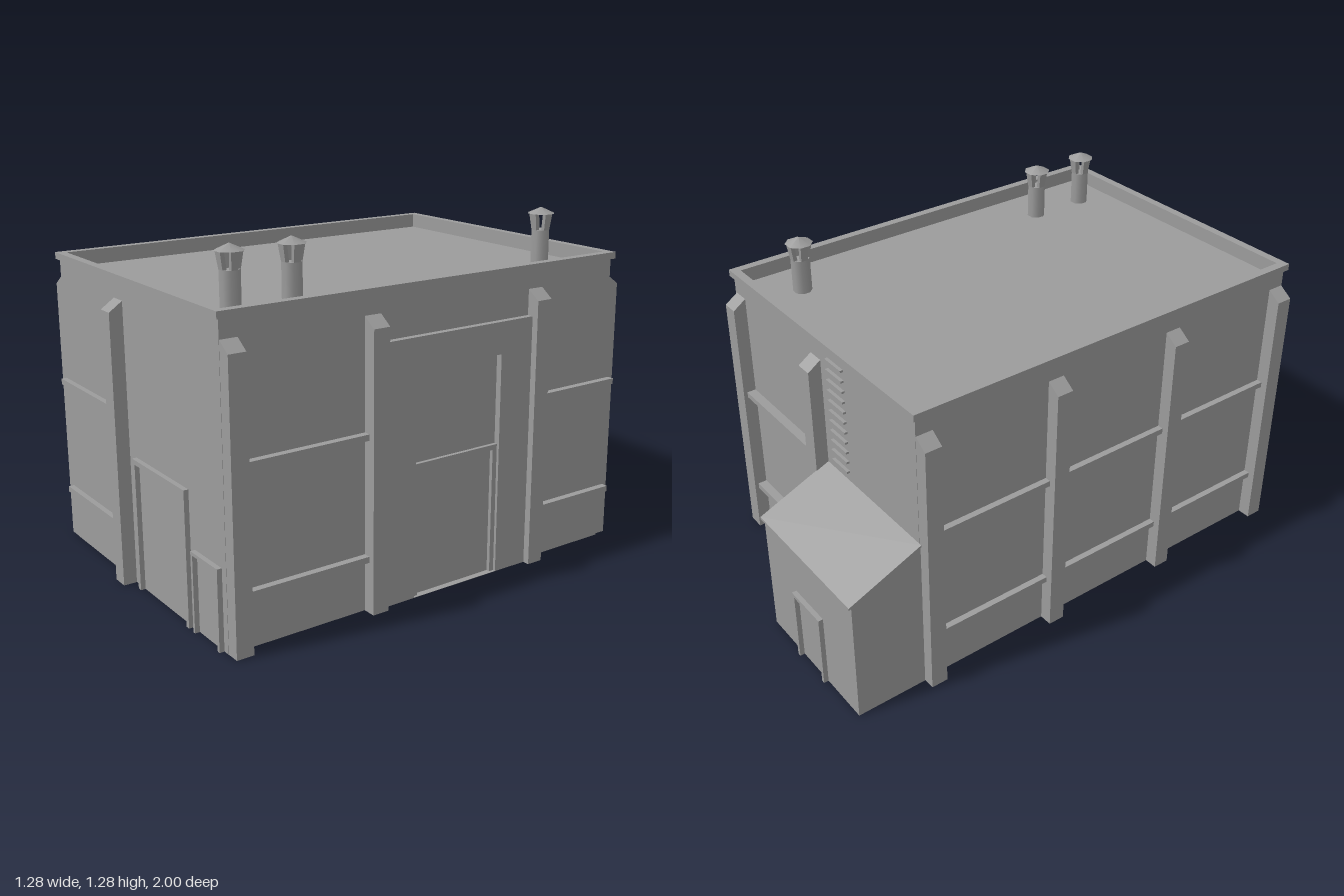
import * as THREE from 'three';

const mat = new THREE.MeshStandardMaterial({ color: 0x9c9c9c, side: THREE.DoubleSide });
const X = 0.59, ZF = 0.945, ZB = -0.71; // outer wall faces
const TOP = 1.1, PILLAR_HALF = 0.032;
const BEAMS = [0.197, 0.631];

function add(parent, name, geometry) {
  const mesh = new THREE.Mesh(geometry, mat);
  mesh.name = name;
  parent.add(mesh);
  return mesh;
}

// box geometry from its two corners
function boxGeometry(x0, x1, y0, y1, z0, z1) {
  const g = new THREE.BoxGeometry(x1 - x0, y1 - y0, z1 - z0);
  return g.translate((x0 + x1) / 2, (y0 + y1) / 2, (z0 + z1) / 2);
}

// leaves out sides of a box: 3 is the bottom, 5 the back
function dropSides(g, sides) {
  g.setIndex(Array.from(g.index.array).filter((_, i) => !sides.includes(Math.floor(i / 6))));
  g.clearGroups();
  return g;
}

function rectangle(target, x0, x1, y0, y1) {
  target.moveTo(x0, y0);
  target.lineTo(x1, y0);
  target.lineTo(x1, y1);
  target.lineTo(x0, y1);
  target.closePath();
  return target;
}

function extrude(shape, depth) {
  return new THREE.ExtrudeGeometry(shape, { depth, bevelEnabled: false });
}

// side profile of [out, y] points, swept along the wall from u0 to u1
function sweep(parent, name, points, u0, u1) {
  const shape = new THREE.Shape(points.map(p => new THREE.Vector2(...p)));
  add(parent, name, extrude(shape, u1 - u0).rotateY(-Math.PI / 2).translate(u1, 0, 0));
}

// rectangular ring around the roof: o = overhang, t = inset of the hole
function ring(parent, name, o, t, y0, y1) {
  const s = rectangle(new THREE.Shape(), -X - o, X + o, -ZF - o, -ZB + o);
  s.holes.push(rectangle(new THREE.Path(), -X + t, X - t, -ZF + t, -ZB - t));
  add(parent, name, extrude(s, y1 - y0).rotateX(-Math.PI / 2).translate(0, y0, 0));
}

// thin wall whose pillars and beams are channels open to the inside;
// in its frame x runs along the wall and z points outwards
function wall(parent, name, [x, z, angle], [u0, u1], pillars, beams, beamOut) {
  const g = new THREE.Group();
  g.name = name;
  g.position.set(x, 0, z);
  g.rotation.y = angle;
  parent.add(g);

  const skin = rectangle(new THREE.Shape(), u0, u1, 0, TOP);
  const cut = (a, b, y0, y1) => skin.holes.push(
    rectangle(new THREE.Path(), Math.max(a, u0) + 0.001, Math.min(b, u1) - 0.001, y0, y1));

  for (const u of pillars) {
    const a = u - PILLAR_HALF, b = u + PILLAR_HALF;
    cut(a, b, 0.001, 1.034);
    const channel = dropSides(boxGeometry(a, b, 0, 1.035, 0, 0.05), [3, 5]);
    const p = channel.attributes.position;
    // slope the top down to the outside
    for (let i = 0; i < p.count; i++) {
      if (p.getY(i) > 1 && p.getZ(i) > 0.04) p.setY(i, 1);
    }
    channel.computeVertexNormals();
    add(g, 'pillar', channel);
  }
  for (const [a, b] of beams) {
    for (const y of BEAMS) {
      cut(a, b, y - 0.01, y + 0.01);
      add(g, 'beam', dropSides(boxGeometry(a, b, y - 0.011, y + 0.011, 0, beamOut), [5]));
    }
  }
  add(g, 'wallSkin', new THREE.ShapeGeometry(skin));
  return g;
}

// door casing: two posts and a lintel
function doorFrame(parent, u0, u1, top, t, out, z0 = 0) {
  const s = new THREE.Shape();
  [[u0, 0], [u0 + t, 0], [u0 + t, top - t], [u1 - t, top - t], [u1 - t, 0], [u1, 0], [u1, top], [u0, top]]
    .forEach(([x, y], i) => (i ? s.lineTo(x, y) : s.moveTo(x, y)));
  add(parent, 'doorFrame', extrude(s, out).translate(0, 0, z0));
}

function chimney(parent, z) {
  const g = new THREE.Group();
  g.name = 'chimney';
  g.position.set(0.395, 0, z);
  const pipe = new THREE.CylinderGeometry(0.035, 0.035, 0.14, 8, 1, false, Math.PI / 8);
  add(g, 'chimneyPipe', pipe.translate(0, 1.13, 0));
  // four thick supports leaning outwards
  for (let i = 0; i < 4; i++) {
    const support = boxGeometry(-0.013, 0.013, 1.2, 1.262, 0.018, 0.033);
    const p = support.attributes.position;
    for (let k = 0; k < p.count; k++) {
      if (p.getY(k) > 1.23) p.setXYZ(k, p.getX(k) * 1.3, p.getY(k), p.getZ(k) + 0.01);
    }
    support.computeVertexNormals();
    add(g, 'capSupport', support.rotateY(i * Math.PI / 2));
  }
  const cap = new THREE.CylinderGeometry(0.003, 0.051, 0.022, 8, 1, false, Math.PI / 8);
  add(g, 'chimneyCap', cap.translate(0, 1.271, 0));
  parent.add(g);
}

export function createModel() {
  const model = new THREE.Group();
  model.name = 'building';

  // roof with its raised edge and chimneys
  ring(model, 'parapet', -0.004, 0.02, 1.06, 1.1);
  ring(model, 'cornice', 0.012, 0.02, 1.1, 1.125);
  add(model, 'roof', boxGeometry(-X + 0.005, X - 0.005, 1.06, 1.07, ZB + 0.005, ZF - 0.005));
  for (const z of [-0.535, 0.56, 0.79]) chimney(model, z);

  // front: one pillar, beams on one half, large and small doors
  const front = wall(model, 'frontWall', [0, ZF, 0], [-X, X], [-0.102], [[-0.6, -0.134]], 0.021);
  doorFrame(front, -0.018, 0.358, 0.49, 0.018, 0.018);
  doorFrame(front, 0.388, 0.563, 0.29, 0.012, 0.018);

  // +x side: the along-wall coordinate is -z
  const left = wall(model, 'leftWall', [X, 0, Math.PI / 2], [-ZF, -ZB], [-0.912, -0.378, 0.335],
    [[-0.88, -0.41], [0.367, 0.73]], 0.026);

  // raised bay between two pillars with a tall recess and a door in it
  const bay = rectangle(new THREE.Shape(), -0.346, 0.303, 0, 0.941);
  bay.holes.push(rectangle(new THREE.Path(), -0.214, 0.162, 0.001, 0.824));
  add(left, 'raisedBay', extrude(bay, 0.024));
  doorFrame(left, -0.213, 0.161, 0.491, 0.019, 0.014);

  // -x side: four pillars with beams between them
  wall(model, 'rightWall', [-X, 0, -Math.PI / 2], [ZB, ZF], [-0.677, -0.148, 0.385, 0.912],
    [[-0.645, -0.18], [-0.116, 0.353], [0.417, 0.88]], 0.023);

  // back: the along-wall coordinate is -x
  const back = wall(model, 'backWall', [0, ZB, Math.PI], [-X, X], [-0.55, -0.012], [[-0.518, -0.044]], 0.035);
  for (let i = 0; i < 11; i++) {
    const y = 0.655 + i * 0.041;
    add(back, 'ladderRung', boxGeometry(0.07, 0.17, y - 0.004, y + 0.004, 0, 0.012));
  }

  // lean-to annex with a sloping roof and its own door
  sweep(back, 'annex', [[0, 0], [0.272, 0], [0.272, 0.49], [0, 0.605]], 0.022, 0.597);
  sweep(back, 'annexRoof', [[0, 0.605], [0.284, 0.486], [0.284, 0.495], [0, 0.614]], 0.017, 0.602);
  doorFrame(back, 0.215, 0.395, 0.29, 0.014, 0.018, 0.272);

  return model;
}
